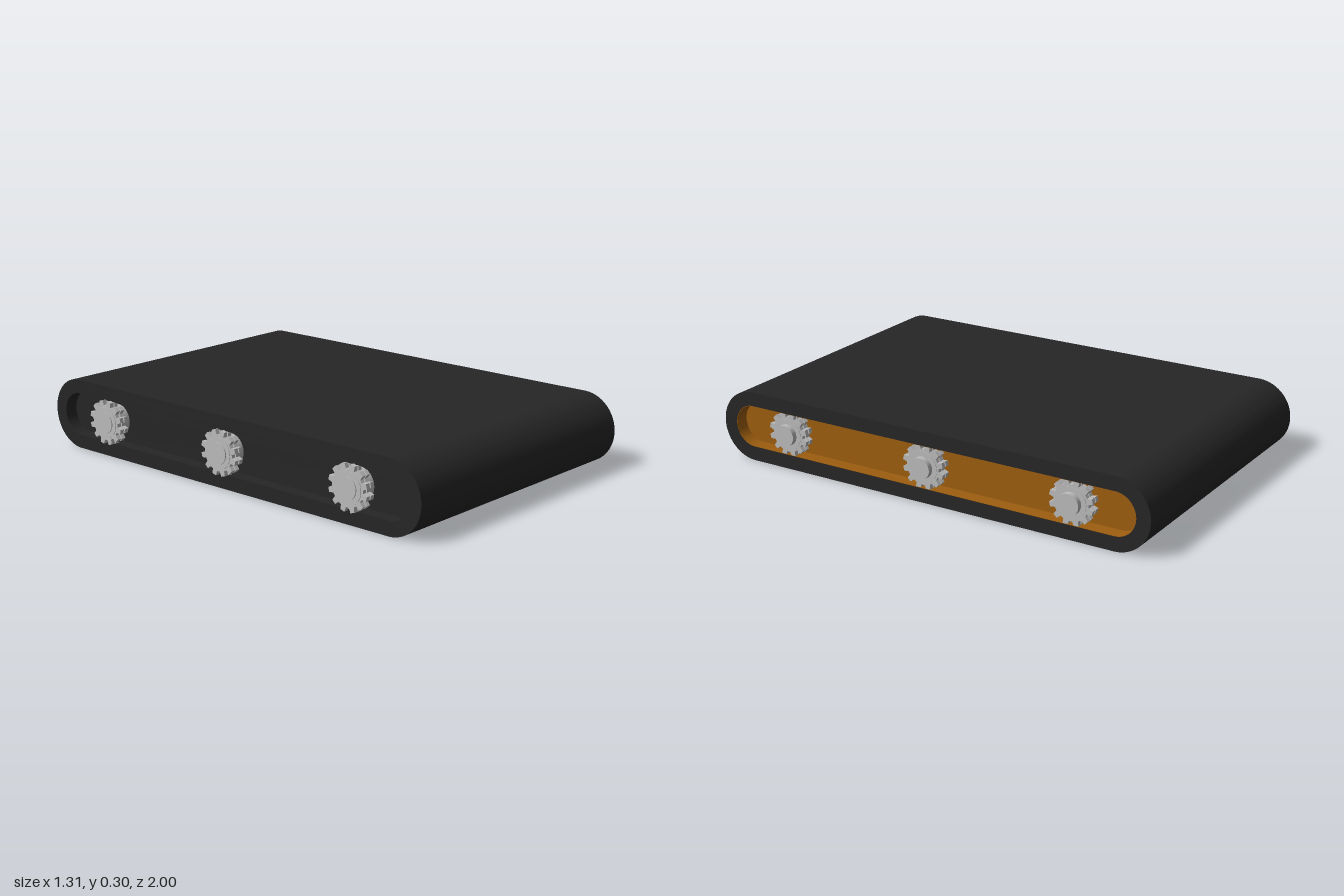
import * as THREE from 'three';
import { toCreasedNormals } from 'three/addons/utils/BufferGeometryUtils.js';

const mat = (name, color) => {
  const m = new THREE.MeshStandardMaterial({ color });
  m.name = name;
  return m;
};

// Stadium outline: straight half-length h along the track, end radius r
function stadium(h, r, Type = THREE.Shape) {
  const s = new Type();
  s.moveTo(-h, -r);
  s.lineTo(h, -r);
  s.absarc(h, 0, r, -Math.PI / 2, Math.PI / 2, false);
  s.lineTo(-h, r);
  s.absarc(-h, 0, r, Math.PI / 2, Math.PI * 1.5, false);
  return s;
}

// Extrude a side profile from x0 to x1
function extrudeX(shape, x0, x1) {
  const g = new THREE.ExtrudeGeometry(shape, { depth: x1 - x0, bevelEnabled: false, curveSegments: 24 });
  g.rotateY(Math.PI / 2);
  g.translate(x0, 0, 0);
  return toCreasedNormals(g, 0.6);
}

// Toothed wheel outline with trapezoid teeth
function gearShape(teeth, root, tip) {
  const pts = [];
  const step = (Math.PI * 2) / teeth;
  for (let i = 0; i < teeth; i++) {
    for (const [t, r] of [[-0.32, root], [-0.2, tip], [0.2, tip], [0.32, root]]) {
      const a = (i + 0.5 + t) * step;
      pts.push(new THREE.Vector2(Math.cos(a) * r, Math.sin(a) * r));
    }
  }
  return new THREE.Shape(pts);
}

export function createModel() {
  const model = new THREE.Group();
  const rubber = mat('black rubber', 0x262626);
  const orange = mat('orange panel', 0x9e5e0f);
  const steel = mat('steel', 0xbcbcbc);

  const add = (parent, name, geometry, material) => {
    const mesh = new THREE.Mesh(geometry, material);
    mesh.name = name;
    parent.add(mesh);
    return mesh;
  };

  const body = new THREE.Group();
  body.name = 'conveyor';
  body.position.y = 0.15;
  model.add(body);

  // Belt loop
  const loop = stadium(0.85, 0.15);
  loop.holes.push(stadium(0.85, 0.09, THREE.Path));
  add(body, 'belt', extrudeX(loop, -0.63, 0.635), rubber);

  // Recessed side panels; the orange one has a thin lining around it
  add(body, 'leftPanel', extrudeX(stadium(0.85, 0.091), 0.3, 0.575), orange);
  add(body, 'rightPanel', extrudeX(stadium(0.85, 0.091), -0.575, -0.3), rubber);
  const lining = stadium(0.85, 0.0905);
  lining.holes.push(stadium(0.85, 0.088, THREE.Path));
  add(body, 'panelLining', extrudeX(lining, 0.57, 0.633), orange);

  // Double sprockets with a stepped hub, three along each side
  const gear = gearShape(12, 0.075, 0.095);
  const disc = (r, x0, x1) => {
    const g = new THREE.CylinderGeometry(r, r, x1 - x0, 32);
    g.rotateZ(Math.PI / 2);
    g.translate((x0 + x1) / 2, 0, 0);
    return g;
  };
  for (const side of [1, -1]) {
    const outer = side > 0 ? 0.632 : 0.65;
    const span = (a, b) => (side > 0 ? [a, b] : [-b, -a]);
    for (const z of [0.67, 0, -0.665]) {
      const sprocket = new THREE.Group();
      sprocket.name = side > 0 ? 'leftSprocket' : 'rightSprocket';
      sprocket.position.z = z;
      body.add(sprocket);
      add(sprocket, 'outerTeeth', extrudeX(gear, ...span(outer - 0.018, outer)), steel);
      add(sprocket, 'innerTeeth', extrudeX(gear, ...span(outer - 0.042, outer - 0.024)), steel);
      add(sprocket, 'collar', disc(0.066, ...span(0.56, outer + 0.002)), steel);
      add(sprocket, 'hub', disc(0.045, ...span(0.56, 0.656)), steel);
    }
  }
  return model;
}
